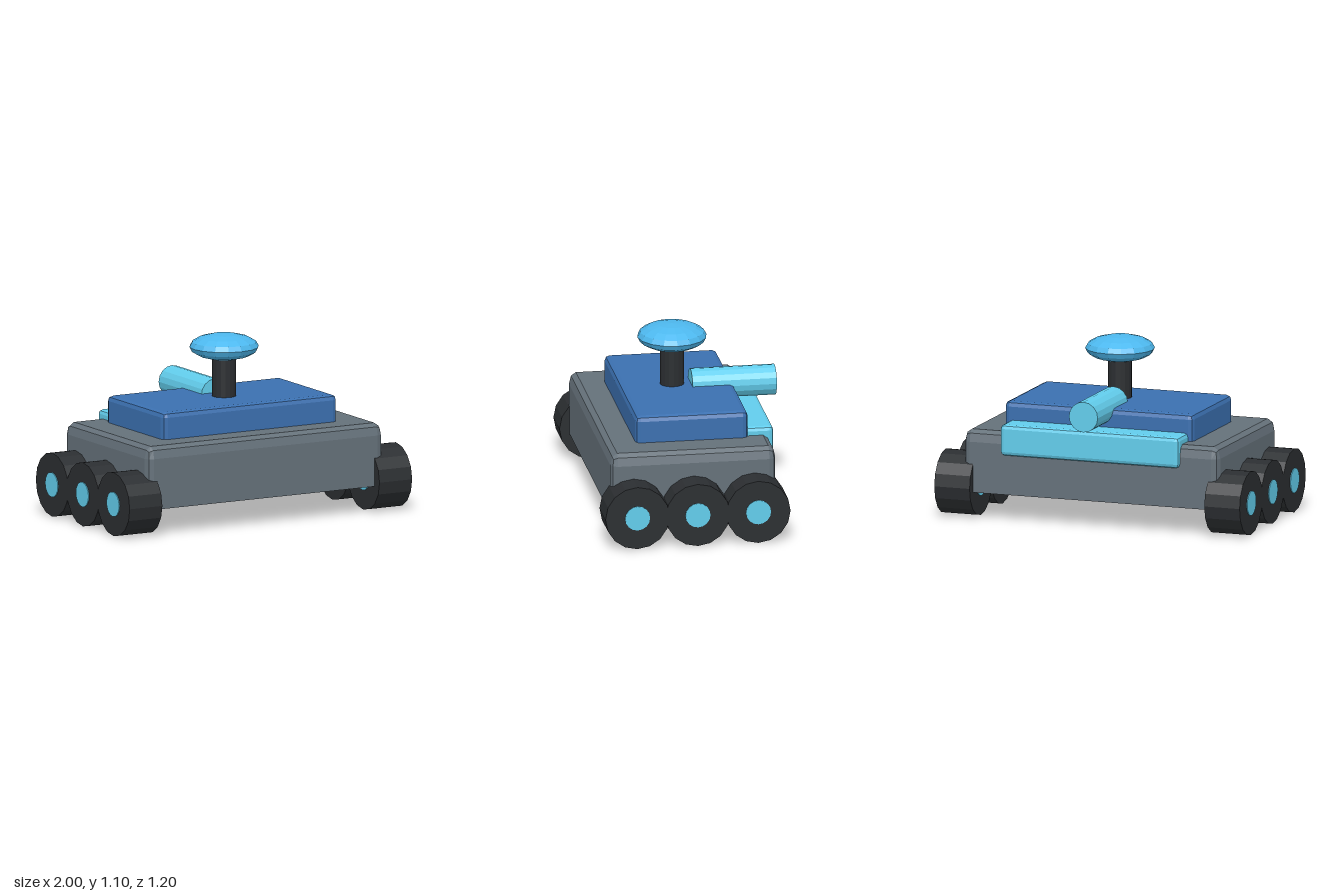
import * as THREE from 'three';
import { RoundedBoxGeometry } from 'three/addons/geometries/RoundedBoxGeometry.js';

const mat = (color) => new THREE.MeshStandardMaterial({ color, flatShading: true });

const slate = mat(0x65717a);
const blue = mat(0x3b70b0);
const cyan = mat(0x62cdec);
const sky = mat(0x4db8ee);
const dark = mat(0x2b2e31);

export function createModel() {
  const model = new THREE.Group();
  model.name = 'sixWheeledRover';

  const add = (name, geometry, material, x, y, z, parent = model) => {
    const mesh = new THREE.Mesh(geometry, material);
    mesh.name = name;
    mesh.position.set(x, y, z);
    parent.add(mesh);
    return mesh;
  };

  // Chamfered box given by its limits; stretch makes the bevel taller than wide
  const slab = (name, material, [x0, x1], [y0, y1], [z0, z1], bevel, stretch = 1) => {
    const g = new RoundedBoxGeometry(x1 - x0, (y1 - y0) / stretch, z1 - z0, 1, bevel);
    g.scale(1, stretch, 1);
    return add(name, g, material, (x0 + x1) / 2, (y0 + y1) / 2, (z0 + z1) / 2);
  };

  // Hull: bevelled above, cut off flat below
  const hull = slab('hull', slate, [-0.83, 0.83], [0.04, 0.552], [-0.478, 0.542], 0.043, 1.7);
  const p = hull.geometry.attributes.position;
  const floor = 0.165 - hull.position.y;
  for (let i = 0; i < p.count; i++) p.setY(i, Math.max(p.getY(i), floor));
  hull.geometry.computeVertexNormals();

  // Upper deck and rear panel
  slab('deck', blue, [-0.615, 0.615], [0.5, 0.718], [-0.34, 0.355], 0.032);
  slab('rearPanel', cyan, [-0.583, 0.583], [0.41, 0.603], [-0.502, -0.28], 0.025);

  // Mast with flattened dome
  add('mast', new THREE.CylinderGeometry(0.074, 0.074, 0.42, 16), dark, 0, 0.78, 0.033);
  const dome = new THREE.SphereGeometry(0.213, 16, 8).scale(1, 0.376, 1);
  add('dome', dome, sky, 0, 1.024, 0.033);

  // Rear-facing tube
  const tube = new THREE.CylinderGeometry(0.094, 0.094, 0.52, 16).rotateX(Math.PI / 2);
  add('rearTube', tube, cyan, 0, 0.71, -0.341);

  // Three wheels a side, each with a hub running through it
  const tyre = new THREE.CylinderGeometry(0.198, 0.198, 0.23, 16)
    .rotateZ(Math.PI / 2).rotateX(Math.PI / 2);
  const hub = new THREE.CylinderGeometry(0.077, 0.077, 0.24, 16)
    .rotateZ(Math.PI / 2).rotateX(Math.PI / 2);
  for (const [side, s] of [['left', 1], ['right', -1]]) {
    [['Front', 0.406], ['Middle', 0.033], ['Rear', -0.341]].forEach(([place, z]) => {
      const wheel = new THREE.Group();
      wheel.name = `${side}${place}Wheel`;
      wheel.position.set(s * 0.88, 0.198, z);
      add('tyre', tyre, dark, 0, 0, 0, wheel);
      add('hub', hub, cyan, 0, 0, 0, wheel);
      model.add(wheel);
    });
  }

  return model;
}
